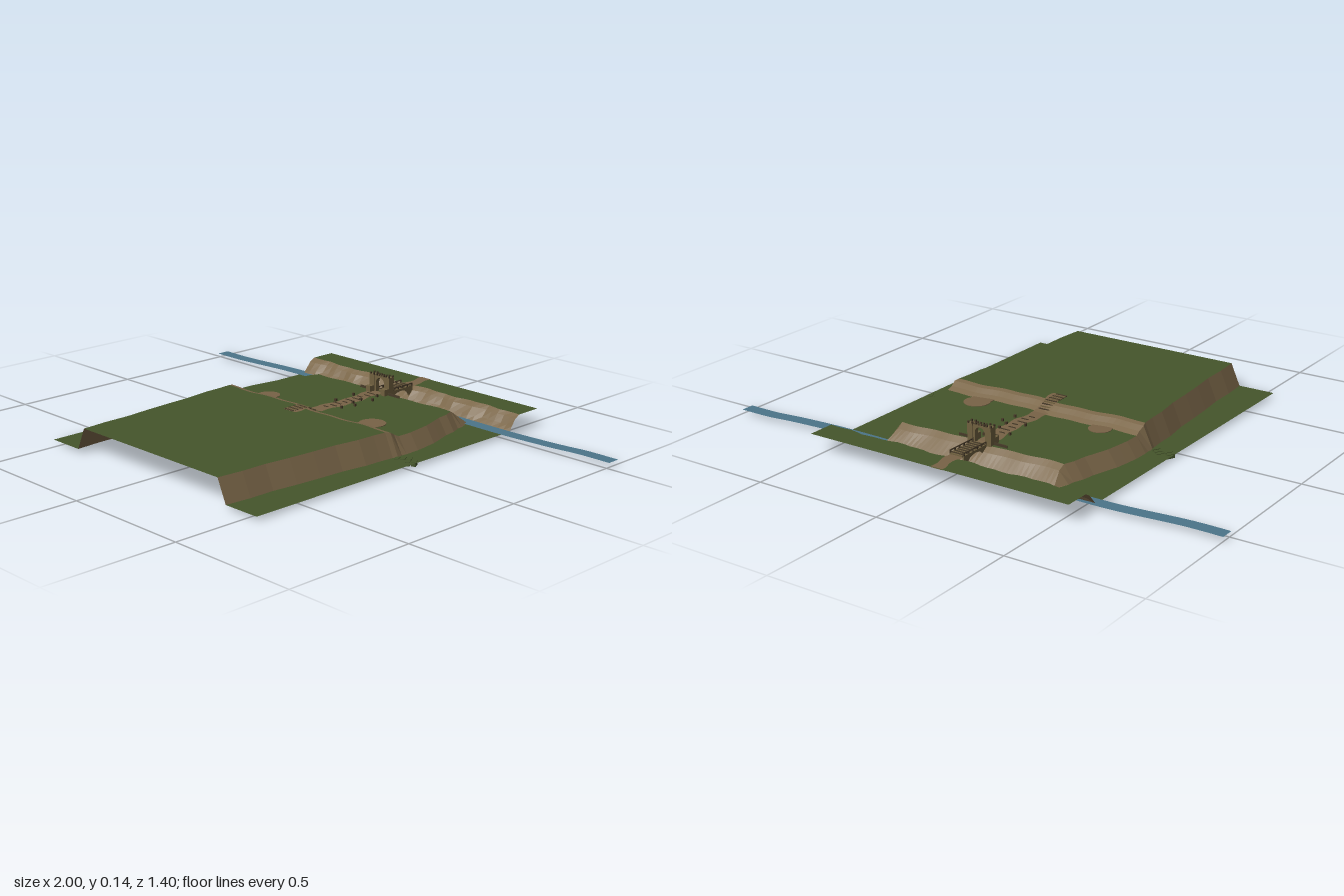
import * as THREE from 'three';

const mat = (name, color) => Object.assign(new THREE.MeshStandardMaterial({ color, side: THREE.DoubleSide }), { name });

export function createModel() {
  const model = new THREE.Group();
  model.name = 'riverFortLandscape';
  const grass = mat('grass', 0x45552b), earth = mat('earth', 0x7b6749), road = mat('road', 0x786246),
    water = mat('water', 0x4c7589), stone = mat('stone', 0x70603f), wood = mat('darkWood', 0x463a28);

  const add = (name, geo, material, x = 0, y = 0, z = 0, parent = model) => {
    const m = new THREE.Mesh(geo, material);
    m.name = name;
    m.position.set(x, y, z);
    parent.add(m);
    return m;
  };
  const box = (name, w, h, d, x, y, z, material, parent) =>
    add(name, new THREE.BoxGeometry(w, h, d), material, x, y + h / 2, z, parent);

  // open sheet through rows of points (rows run toward -z), split by material
  const sheet = (name, rows, pick) => {
    const lists = new Map();
    for (let i = 0; i + 1 < rows.length; i++) for (let j = 0; j + 1 < rows[i].length; j++) {
      const a = rows[i][j], b = rows[i][j + 1], c = rows[i + 1][j + 1], d = rows[i + 1][j];
      const m = pick(i, j);
      if (!lists.has(m)) lists.set(m, []);
      lists.get(m).push(...a, ...b, ...c, ...a, ...c, ...d);
    }
    for (const [m, p] of lists) {
      const g = new THREE.BufferGeometry();
      g.setAttribute('position', new THREE.Float32BufferAttribute(p, 3));
      g.computeVertexNormals();
      add(name + '_' + m.name, g, m);
    }
  };
  const lerpTable = (t, z) => {
    for (let i = 0; i + 1 < t.length; i++) {
      const [z0, v0] = t[i], [z1, v1] = t[i + 1];
      if (z >= z1) return v0 + (v1 - v0) * Math.min(1, Math.max(0, (z0 - z) / (z0 - z1)));
    }
    return t[t.length - 1][1];
  };

  // ground height along the middle, and half width of the raised plateau
  const LOW = 0.013;
  const height = [[0.7, 0.097], [-0.025, 0.097], [-0.045, 0.093], [-0.068, 0.08], [-0.09, 0.07],
    [-0.44, 0.07], [-0.465, 0.054], [-0.515, LOW], [-0.55, LOW]];
  const halfWidth = [[0.7, 0.372], [0.4, 0.39], [0.1, 0.415], [-0.07, 0.43], [-0.2, 0.425],
    [-0.3, 0.4], [-0.44, 0.364], [-0.515, 0.355], [-0.55, 0.355]];
  const wave = x => 0.008 * Math.sin(14 * x) + 0.004 * Math.sin(37 * x);
  const isSlope = z => (z <= -0.02 && z > -0.085) || (z <= -0.43 && z > -0.51);

  // raised plateau, bluff, river cliff and the low ground on both sides
  const zs = [0.7, 0.6, 0.5, 0.4, 0.3, 0.2, 0.1, 0.03, -0.025, -0.045, -0.068, -0.09,
    -0.15, -0.2, -0.25, -0.3, -0.35, -0.4, -0.44, -0.465, -0.515, -0.55];
  const N = 36;
  const land = zs.map((z, i) => {
    const h = lerpTable(height, z), c = lerpTable(halfWidth, z) + 0.003 * Math.sin(i * 2.3);
    const s = z < -0.5 ? 0.004 : 0.019;
    const row = [[-0.537, LOW, z], [-c - s, LOW, z]];
    for (let j = 0; j <= N; j++) {
      const u = j / N * 2 - 1, x = u * (c - s);
      const wavy = isSlope(z) || z === -0.09 ? wave(x) * (1 - u ** 4) : 0;
      row.push([x, h, z + wavy]);
    }
    row.push([c + s, LOW, z], [0.537, LOW, z]);
    return row;
  });
  sheet('plateau', land, (i, j) => {
    if (j === 0 || j === N + 3) return grass;
    if (j === 1 || j === N + 2) return zs[i] < -0.5 ? grass : earth;
    return isSlope(zs[i]) ? earth : grass;
  });

  // far river bank
  const far = [[-0.545, LOW], [-0.562, 0.03], [-0.583, 0.055], [-0.602, 0.068], [-0.703, 0.068]];
  sheet('farBank', far.map(([z, y], i) => Array.from({ length: N + 1 }, (_, j) => {
    const x = -0.537 + 1.074 * j / N;
    return [x, y, z + (i > 0 && i < 4 ? 0.005 * Math.sin(23 * x + i) + 0.003 * Math.sin(61 * x) : 0)];
  })), i => (i < 3 ? earth : grass));

  // winding river
  const course = new THREE.SplineCurve([[-1, -0.515], [-0.85, -0.515], [-0.6, -0.537], [-0.35, -0.535],
    [0, -0.528], [0.3, -0.521], [0.55, -0.517], [0.75, -0.527], [0.87, -0.54], [1, -0.54]]
    .map(p => new THREE.Vector2(...p))).getPoints(60);
  sheet('river', [0.026, -0.026].map(o => course.map(p => [p.x, LOW + 0.003, p.y + o])), () => water);

  // road, a thin skin above and below the ground
  const ground = z => (z > -0.45 ? lerpTable(height, z) : 0.068);
  const roadStrip = (name, z0, z1, w) => {
    for (const off of [0.002, -0.0015]) {
      const rows = [];
      for (let i = 0; i <= 32; i++) {
        const z = z0 + (z1 - z0) * i / 32, c = -0.008 + 0.006 * Math.sin(z * 19);
        rows.push([-1, 1].map(s => [c + s * (w + 0.004 * Math.sin(z * 60 + s)), ground(z) + off, z]));
      }
      sheet(name, rows, () => road);
    }
  };
  roadStrip('road', 0.04, -0.445, 0.029);
  roadStrip('farRoad', -0.57, -0.703, 0.023);

  // bare earth clearings behind the bluff
  for (const [x, z, r] of [[-0.27, -0.103, 0.043], [0.245, -0.13, 0.05]]) {
    add('clearing', new THREE.CylinderGeometry(r, r, 0.004, 20), road, x, 0.07, z);
    box('clearingPath', r * 1.7, 0.004, 0.06, x, 0.068, z + 0.03, road);
  }

  // steps over the bluff and planks on the road
  for (let i = 0; i < 11; i++) {
    const z = 0.035 - i * 0.011;
    box('step', 0.046, 0.004, 0.005, -0.014, ground(z), z, i % 2 ? stone : wood);
  }
  for (let i = 0; i < 9; i++)
    box('roadPlank', 0.022 + (i % 3) * 0.008, 0.003, 0.005, -0.012 + (i % 2) * 0.01, 0.071, -0.15 - i * 0.03, wood);
  for (const [x, z] of [[0.022, -0.3], [0.055, -0.33], [0.055, -0.235], [0.025, -0.255], [-0.045, -0.33],
    [0.04, -0.18], [-0.04, -0.23], [0.03, -0.38]])
    box('roadPost', 0.008, 0.011, 0.008, x, 0.069, z, wood);

  // bridge: arched side walls, deck, rails and cross beams
  const bridge = new THREE.Group();
  bridge.name = 'bridge';
  model.add(bridge);
  const side = new THREE.Shape();
  side.moveTo(0.45, 0.074);
  side.lineTo(0.45, 0.056);
  side.lineTo(0.468, 0.036);
  side.quadraticCurveTo(0.475, 0.064, 0.515, 0.065);
  side.quadraticCurveTo(0.555, 0.064, 0.562, 0.036);
  side.lineTo(0.58, 0.056);
  side.lineTo(0.58, 0.074);
  const archGeo = new THREE.ExtrudeGeometry(side, { depth: 0.006, bevelEnabled: false, curveSegments: 8 });
  archGeo.rotateY(Math.PI / 2);
  for (const x of [-0.035, 0.021]) {
    add('bridgeArch', archGeo, stone, x, 0, 0, bridge);
    box('bridgeRail', 0.004, 0.003, 0.13, x + 0.003, 0.081, -0.515, wood, bridge);
    for (let i = 0; i < 6; i++) box('railPost', 0.005, 0.011, 0.005, x + 0.003, 0.073, -0.453 - i * 0.025, wood, bridge);
  }
  box('bridgeDeck', 0.05, 0.005, 0.135, -0.004, 0.069, -0.515, stone, bridge);
  for (let i = 0; i < 8; i++) box('deckBeam', 0.052, 0.002, 0.006, -0.004, 0.074, -0.46 - i * 0.016, wood, bridge);

  // gatehouse with an arched passage, towers and battlements
  const gate = new THREE.Group();
  gate.name = 'gatehouse';
  gate.position.set(-0.003, 0.066, -0.439);
  model.add(gate);
  const wall = new THREE.Shape([[-0.036, 0], [-0.021, 0], [-0.021, 0.04]].map(p => new THREE.Vector2(...p)));
  wall.absarc(0, 0.04, 0.021, Math.PI, 0, true);
  [[0.021, 0], [0.036, 0], [0.036, 0.068], [-0.036, 0.068]].forEach(p => wall.lineTo(...p));
  add('gateWall', new THREE.ExtrudeGeometry(wall, { depth: 0.018, bevelEnabled: false, curveSegments: 8 }), stone, 0, 0, -0.009, gate);
  for (const s of [-1, 1]) {
    box('gateTower', 0.022, 0.07, 0.027, s * 0.039, 0, 0, stone, gate);
    for (const dx of [-0.008, 0.008]) for (const dz of [-0.01, 0.01])
      box('towerMerlon', 0.006, 0.007, 0.006, s * 0.039 + dx, 0.07, dz, wood, gate);
    box('sideWall', 0.022, 0.028, 0.022, s * 0.038, 0, 0.024, stone, gate);
    box('palisade', 0.055, 0.013, 0.004, s * 0.077, 0, 0.01 + s * 0.004, wood, gate);
  }
  for (const x of [-0.018, -0.006, 0.006, 0.018])
    for (const z of [-0.007, 0.007]) box('gateMerlon', 0.006, 0.007, 0.004, x, 0.068, z, wood, gate);

  // low mounds beside the plateau, in line with the bluff
  for (const s of [-1, 1]) for (let i = 0; i < 5; i++) {
    const m = box('lowMound', 0.016, 0.015, 0.03, s * (0.455 + i * 0.017), 0, -0.035 - (i % 3) * 0.014, grass);
    m.rotation.y = s * 0.5;
  }
  return model;
}
